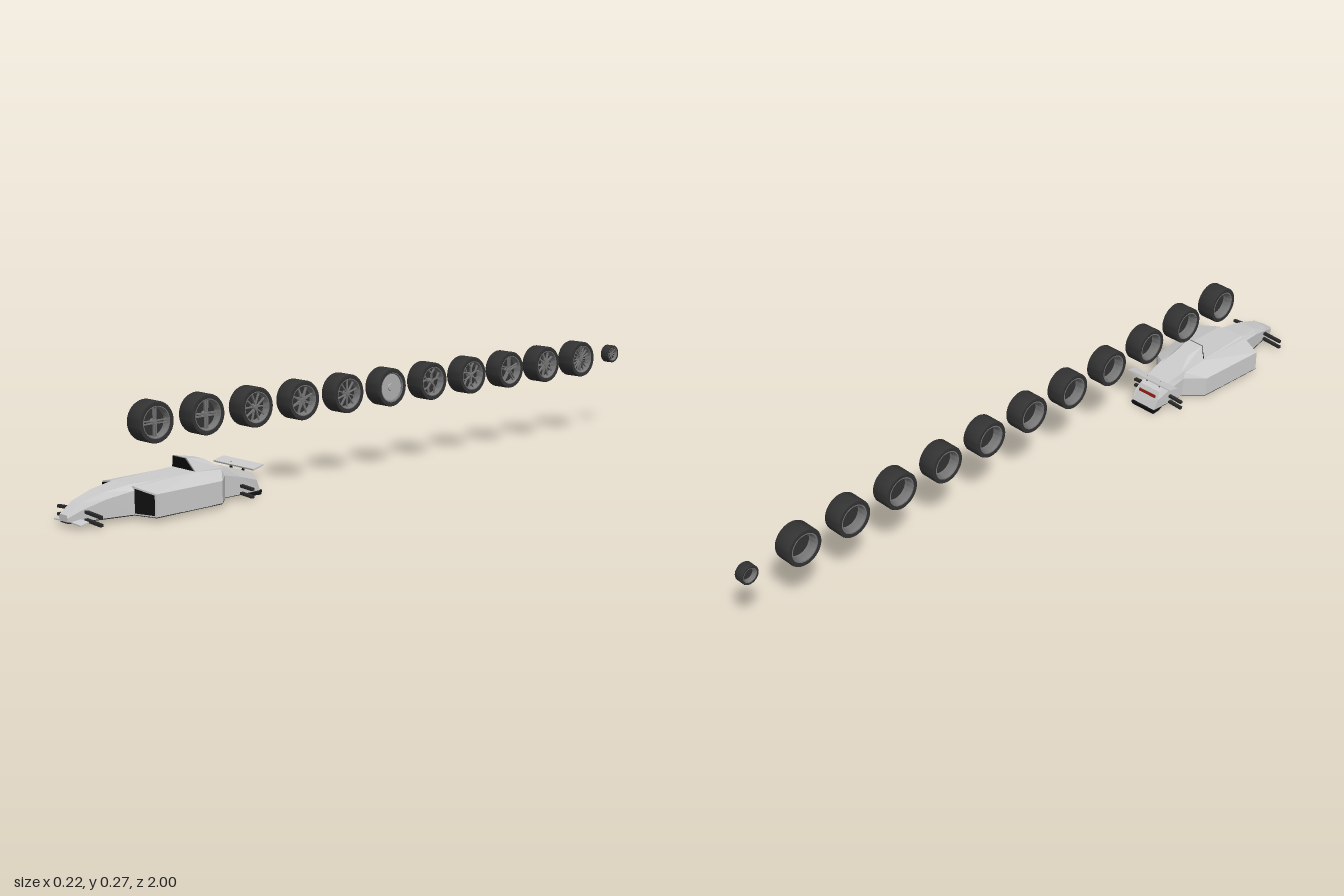
import * as THREE from 'three';
import { toCreasedNormals } from 'three/addons/utils/BufferGeometryUtils.js';
import { ConvexGeometry } from 'three/addons/geometries/ConvexGeometry.js';

const mat = (color, flat = true) => new THREE.MeshStandardMaterial({ color, flatShading: flat, side: THREE.DoubleSide });
const grey = mat(0xcccccc), black = mat(0x111111), dark = mat(0x2a2a2a), red = mat(0x8a1a10);
const tyreMat = mat(0x333333, false), rimMat = mat(0x777777, false), discMat = mat(0xb0b0b0, false);

function add(parent, name, geometry, material, x = 0, y = 0, z = 0) {
  const m = new THREE.Mesh(geometry, material);
  m.name = name;
  m.position.set(x, y, z);
  parent.add(m);
  return m;
}

const hull = pts => new ConvexGeometry(pts.map(p => new THREE.Vector3(...p)));
const mirrored = pts => pts.flatMap(([x, y, z]) => [[x, y, z], [-x, y, z]]);

// Surface through six-sided sections, listed from back to front
function loft(stations) {
  const pos = [], idx = [], n = 6;
  for (const [z, wb, yb, wm, ym, wt, yt, lean = 0] of stations)
    pos.push(wb, yb, z, wm, ym, z + lean / 2, wt, yt, z + lean, -wt, yt, z + lean, -wm, ym, z + lean / 2, -wb, yb, z);
  for (let i = 0; i < stations.length - 1; i++)
    for (let j = 0; j < n; j++) {
      const a = i * n + j, b = i * n + (j + 1) % n;
      idx.push(a, b, b + n, a, b + n, a + n);
    }
  const f = (stations.length - 1) * n;
  for (let j = 1; j < n - 1; j++) idx.push(0, j + 1, j, f, f + j, f + j + 1);
  const g = new THREE.BufferGeometry();
  g.setAttribute('position', new THREE.Float32BufferAttribute(pos, 3));
  g.setIndex(idx);
  g.computeVertexNormals();
  return g;
}

function quad(a, b, c, d) {
  const g = new THREE.BufferGeometry();
  g.setAttribute('position', new THREE.Float32BufferAttribute([a, b, c, a, c, d].flat(), 3));
  g.computeVertexNormals();
  return g;
}

function createCar() {
  const car = new THREE.Group();
  car.name = 'carBody';
  // z, bottom half width and height, shoulder, top, lean of the section
  add(car, 'centralBody', loft([
    [0.437, 0.04, 0.012, 0.042, 0.04, 0.036, 0.06, 0.025],
    [0.50, 0.043, 0.011, 0.044, 0.055, 0.037, 0.073],
    [0.555, 0.046, 0.011, 0.047, 0.067, 0.042, 0.086],
    [0.65, 0.049, 0.011, 0.05, 0.08, 0.045, 0.089],
    [0.83, 0.048, 0.011, 0.05, 0.07, 0.034, 0.083],
    [0.90, 0.034, 0.011, 0.036, 0.057, 0.026, 0.073],
    [0.96, 0.024, 0.012, 0.026, 0.04, 0.019, 0.055],
    [0.998, 0.016, 0.014, 0.017, 0.023, 0.014, 0.03],
  ]), grey);

  // Side pods with dark inlets and suspension arms
  for (const s of [1, -1]) {
    const side = s > 0 ? 'left' : 'right';
    const p = (x, y, z) => [s * x, y, z];
    add(car, side + 'SidePod', hull([
      p(0.03, 0.011, 0.83), p(0.03, 0.079, 0.83), p(0.048, 0.011, 0.83), p(0.048, 0.079, 0.83),
      p(0.109, 0.011, 0.81), p(0.109, 0.067, 0.81),
      p(0.094, 0.011, 0.60), p(0.094, 0.067, 0.60),
      p(0.045, 0.011, 0.553), p(0.045, 0.067, 0.553),
      p(0.045, 0.088, 0.64), p(0.04, 0.084, 0.56),
    ]), grey);
    add(car, side + 'Inlet', quad(p(0.051, 0.015, 0.831), p(0.106, 0.015, 0.813),
      p(0.106, 0.064, 0.813), p(0.051, 0.075, 0.831)), black);
    for (const [end, z] of [['front', 0.952], ['rear', 0.5]])
      for (const y of [0.017, 0.036]) {
        const arm = add(car, `${end}${side}Arm`, new THREE.BoxGeometry(0.066, 0.007, 0.009), dark, s * 0.055, y - 0.004, z);
        arm.rotation.z = -s * 0.06;
      }
    // Front winglet
    add(car, side + 'Winglet', hull([
      p(0.012, 0.014, 0.988), p(0.055, 0.011, 0.988), p(0.055, 0.017, 0.965), p(0.012, 0.018, 0.965),
      p(0.012, 0.010, 0.988), p(0.055, 0.008, 0.988), p(0.055, 0.014, 0.965), p(0.012, 0.014, 0.965),
    ]), grey);
    // Rear wing strut
    const strut = add(car, side + 'WingStrut', new THREE.BoxGeometry(0.004, 0.026, 0.006), black, s * 0.024, 0.069, 0.478);
    strut.rotation.x = -0.2;
  }

  // Air intake behind the cockpit
  const intake = mirrored([[0.045, 0.086, 0.643], [0.026, 0.122, 0.657], [0.021, 0.112, 0.60], [0.038, 0.084, 0.553]]);
  add(car, 'airIntake', hull(intake), grey);
  add(car, 'airIntakeOpening', quad([-0.043, 0.09, 0.648], [0.043, 0.09, 0.648],
    [0.025, 0.121, 0.66], [-0.025, 0.121, 0.66]), black);

  // Dark floor following the plan outline
  const outline = [[0.04, 0.437], [0.045, 0.553], [0.094, 0.6], [0.109, 0.81], [0.048, 0.83], [0.024, 0.96], [0.016, 0.995]];
  const floor = new THREE.Shape([...outline, ...outline.map(([x, z]) => [-x, z]).reverse()]
    .map(([x, z]) => new THREE.Vector2(x, z)));
  const floorGeo = new THREE.ExtrudeGeometry(floor, { depth: 0.002, bevelEnabled: false });
  add(car, 'floor', floorGeo.rotateX(Math.PI / 2), dark, 0, 0.0115, 0);

  // Tail: wing, lamp and diffuser
  const wing = add(car, 'rearWing', new THREE.BoxGeometry(0.158, 0.004, 0.034), grey, 0, 0.081, 0.474);
  wing.rotation.x = 0.25;
  const lamp = add(car, 'tailLamp', new THREE.BoxGeometry(0.06, 0.008, 0.004), red, 0, 0.045, 0.453);
  lamp.rotation.x = 0.48;
  add(car, 'diffuser', hull(mirrored([[0.04, 0.012, 0.43], [0.04, 0, 0.434], [0.04, 0.001, 0.46], [0.036, 0.011, 0.49]])), black);
  return car;
}

// Revolve a profile of [radius, x] points about the x axis
function revolve(points, segments = 40) {
  const g = new THREE.LatheGeometry(points.map(p => new THREE.Vector2(...p)), segments);
  return toCreasedNormals(g.rotateZ(-Math.PI / 2), 0.5);
}

// Flat bar in the wheel face, between two polar positions
function bar(parent, r1, a1, r2, a2, width) {
  const y1 = r1 * Math.cos(a1), z1 = r1 * Math.sin(a1), y2 = r2 * Math.cos(a2), z2 = r2 * Math.sin(a2);
  const m = add(parent, 'spoke', new THREE.BoxGeometry(0.005, Math.hypot(y2 - y1, z2 - z1), width), rimMat,
    0.017, (y1 + y2) / 2, (z1 + z2) / 2);
  m.rotation.x = Math.atan2(z2 - z1, y2 - y1);
}

function createWheel({ count, style, width = 0.003 }) {
  const wheel = new THREE.Group();
  add(wheel, 'tyre', revolve([[0.039, -0.025], [0.046, -0.027], [0.05, -0.0262], [0.0515, -0.023], [0.0515, 0.023],
    [0.05, 0.0262], [0.046, 0.027], [0.039, 0.025], [0.039, -0.025]]), tyreMat);
  add(wheel, 'rimBarrel', revolve([[0.035, -0.022], [0.037, -0.0255], [0.04, -0.0255], [0.04, 0.0255],
    [0.038, 0.0255], [0.036, 0.021], [0.034, 0.01], [0.034, -0.01], [0.035, -0.022]]), rimMat);
  const brake = add(wheel, 'brakeDisc', new THREE.CylinderGeometry(0.0345, 0.0345, 0.006, 32), tyreMat, 0.004);
  brake.rotation.z = Math.PI / 2;
  const hub = add(wheel, 'hub', new THREE.CylinderGeometry(0.006, 0.008, 0.014, 16), rimMat, 0.014);
  hub.rotation.z = -Math.PI / 2;
  if (style === 'disc') {
    add(wheel, 'wheelCover', revolve([[0.038, 0.017], [0.038, 0.021], [0.03, 0.022], [0.01, 0.019], [0.009, 0.022], [0, 0.022]]), discMat);
    return wheel;
  }
  const step = Math.PI * 2 / count;
  for (let i = 0; i < count; i++) {
    const a = i * step;
    if (style === 'single') bar(wheel, 0.004, a, 0.037, a, width);
    for (const s of [-1, 1]) {
      if (style === 'double') bar(wheel, 0.006, a + s * 0.5, 0.037, a + s * 0.1, width);
      if (style === 'vee') bar(wheel, 0.005, a, 0.037, a + s * step * 0.25, width);
      if (style === 'mesh') bar(wheel, 0.006, a, 0.037, a + s * step * 0.5, width);
      if (style === 'fork') bar(wheel, 0.02, a, 0.037, a + s * step * 0.27, width);
    }
    if (style === 'fork') bar(wheel, 0.004, a, 0.021, a, width * 1.3);
  }
  return wheel;
}

export function createModel() {
  const model = new THREE.Group();
  model.name = 'carWithWheelSet';
  model.add(createCar());
  const designs = [
    { style: 'double', count: 4 },
    { style: 'double', count: 4, width: 0.004 },
    { style: 'vee', count: 5 },
    { style: 'mesh', count: 8 },
    { style: 'single', count: 10 },
    { style: 'disc' },
    { style: 'fork', count: 5 },
    { style: 'fork', count: 6 },
    { style: 'double', count: 5 },
    { style: 'mesh', count: 10 },
    { style: 'single', count: 16, width: 0.002 },
    { style: 'single', count: 8, width: 0.004 },
  ];
  // Row of wheels, the last one half size
  designs.forEach((design, i) => {
    const wheel = createWheel(design);
    wheel.name = 'wheel' + (i + 1);
    wheel.position.set(0, 0.22, 0.743 - i * 0.156);
    if (i === designs.length - 1) wheel.scale.setScalar(0.5);
    model.add(wheel);
  });
  return model;
}
